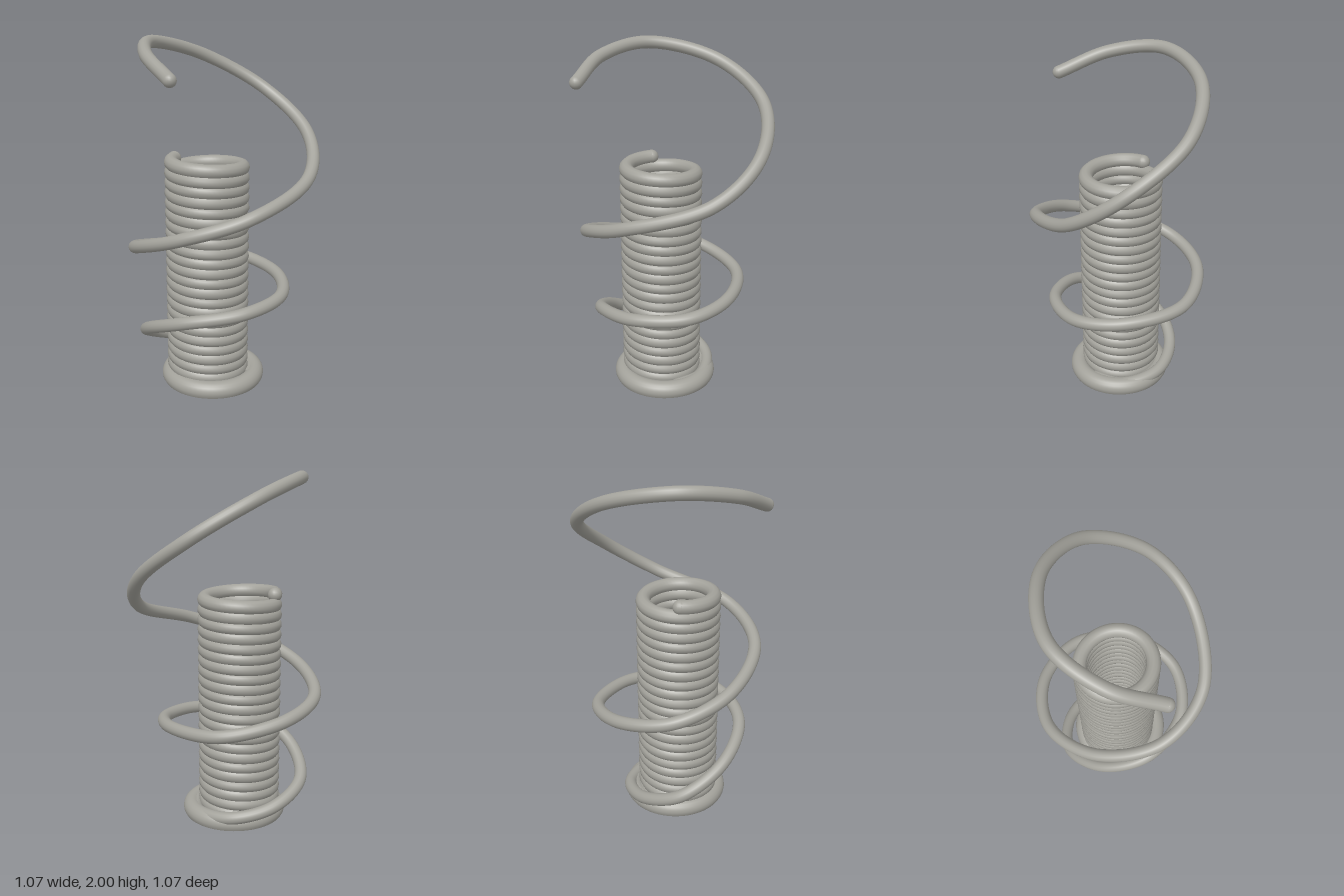
import * as THREE from 'three';

const wireGrey = new THREE.MeshStandardMaterial({ color: 0xa3a29b });
wireGrey.name = 'wire grey';

// Helix of the stacked coil body
class CoilCurve extends THREE.Curve {
  constructor(turns, y0, y1) {
    super();
    Object.assign(this, { turns, y0, y1 });
  }
  getPoint(t, target = new THREE.Vector3()) {
    const a = Math.PI - (1 - t) * this.turns * Math.PI * 2;
    return target.set(
      -0.058 + 0.201 * Math.cos(a),
      this.y0 + (this.y1 - this.y0) * t,
      0.045 + 0.195 * Math.sin(a)
    );
  }
}

export function createModel() {
  const model = new THREE.Group();
  model.name = 'coiledWire';

  const add = (name, geometry, x = 0, y = 0, z = 0) => {
    const mesh = new THREE.Mesh(geometry, wireGrey);
    mesh.name = name;
    mesh.position.set(x, y, z);
    model.add(mesh);
    return mesh;
  };

  // Tube along a curve with a rounded tip at its far end
  const wire = (name, curve, radius, steps, sides) => {
    add(name, new THREE.TubeGeometry(curve, steps, radius, sides));
    const tip = curve.getPoint(1);
    add(name + 'Tip', new THREE.SphereGeometry(radius, 16, 12), tip.x, tip.y, tip.z);
  };

  // Tightly wound hollow body
  wire('coilBody', new CoilCurve(22, 0.05, 1.322), 0.04, 22 * 56, 12);

  // Loose wire leaving the base and spiralling out and up
  const path = [
    [0.2, 0.045, 0.04], [0.14, 0.05, -0.14], [-0.07, 0.075, -0.242],
    [-0.3, 0.13, -0.16], [-0.425, 0.23, 0.05], [-0.32, 0.37, 0.29],
    [-0.05, 0.49, 0.41], [0.25, 0.545, 0.3], [0.38, 0.57, 0.02],
    [0.27, 0.6, -0.25], [-0.05, 0.63, -0.42], [-0.37, 0.695, -0.29],
    [-0.5, 0.76, 0.0], [-0.37, 0.86, 0.31], [-0.03, 0.99, 0.483],
    [0.31, 1.105, 0.36], [0.497, 1.25, -0.07], [0.4, 1.45, -0.36],
    [0.08, 1.68, -0.5], [-0.24, 1.875, -0.34], [-0.395, 1.963, 0.02],
    [-0.28, 1.915, 0.32], [-0.06, 1.81, 0.503]
  ].map(p => new THREE.Vector3(...p));
  wire('looseWire', new THREE.CatmullRomCurve3(path), 0.036, 400, 16);

  // Thick base ring, cut flat on the ground
  const profile = [];
  for (let i = 0; i <= 14; i++) {
    const a = -0.65 + (i / 14) * (Math.PI + 1.3);
    profile.push(new THREE.Vector2(0.25 + 0.053 * Math.cos(a), Math.max(0, 0.034 + 0.053 * Math.sin(a))));
  }
  add('baseRing', new THREE.LatheGeometry(profile, 64), -0.03, 0, 0.033);

  // Underside disc, facing down only
  add('baseUnderside', new THREE.CircleGeometry(0.293, 64).rotateX(Math.PI / 2), -0.03, 0, 0.033);

  return model;
}
